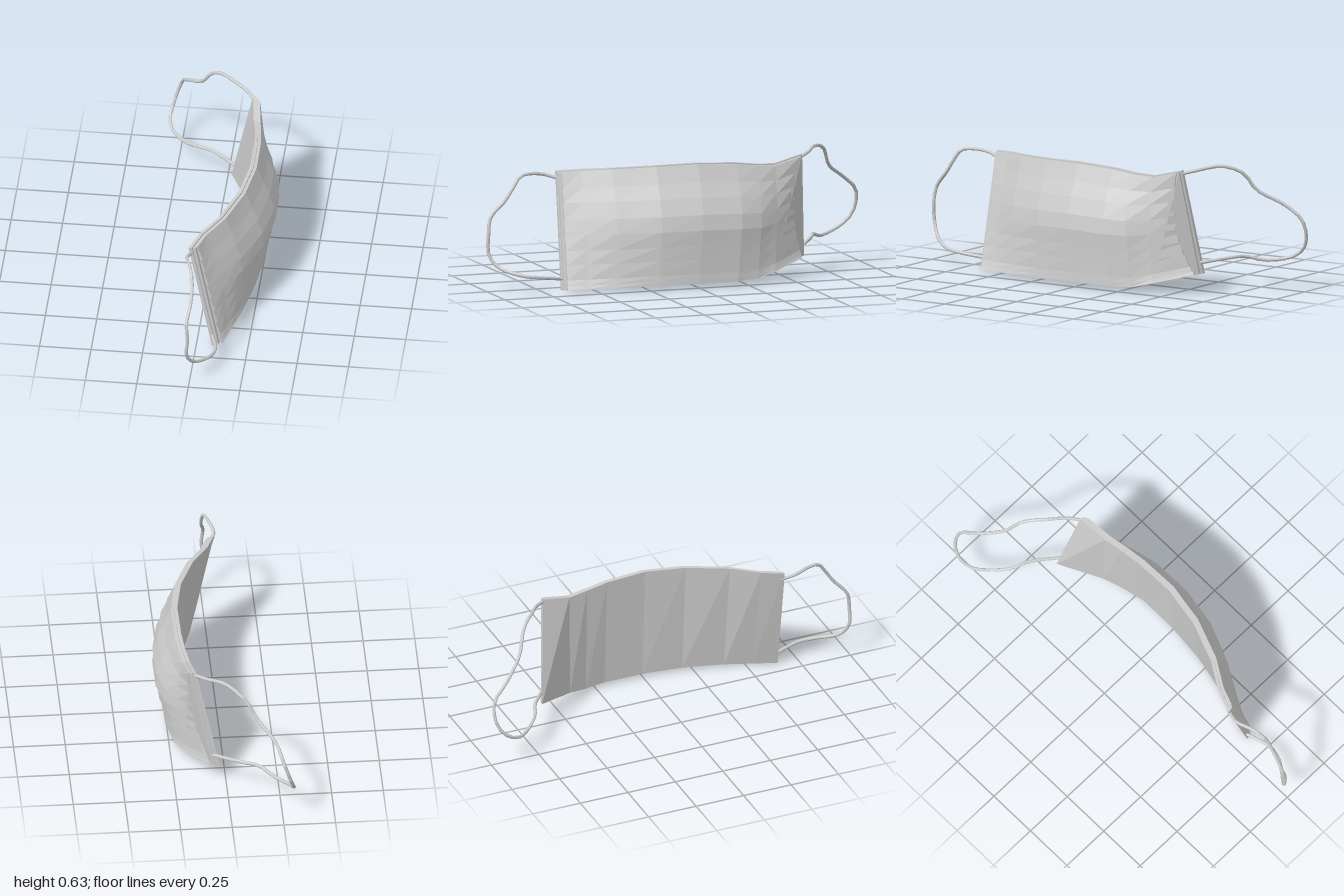
import * as THREE from 'three';

const material = new THREE.MeshStandardMaterial({ color: 0xcccccc, flatShading: true, side: THREE.DoubleSide });

// Stations along the mask: top x, y, z, bottom x, y, z of the inner face, and pleat fullness
const stations = [
  [-0.04, 0.567, 0.637, 0.075, 0, 0.65, 0],
  [0.0, 0.575, 0.53, 0.11, 0.005, 0.53, 0.35],
  [0.08, 0.586, 0.4, 0.15, 0.01, 0.4, 0.6],
  [0.155, 0.598, 0.2, 0.195, 0.015, 0.2, 0.9],
  [0.188, 0.605, 0, 0.215, 0.018, 0, 1],
  [0.185, 0.595, -0.2, 0.215, 0.018, -0.2, 1],
  [0.175, 0.581, -0.31, 0.19, 0.022, -0.31, 0.8],
  [0.16, 0.574, -0.41, 0.15, 0.045, -0.41, 0.35],
  [0.14, 0.61, -0.56, 0.03, 0.095, -0.61, 0],
];
const last = stations.length - 1;

// Point on station i at height t (0 top, 1 bottom), pushed outward by off;
// inset moves the end stations towards their neighbours
function surfacePoint(i, t, off, inset = 0) {
  const at = (s) => new THREE.Vector3(s[0], s[1], s[2]).lerp(new THREE.Vector3(s[3], s[4], s[5]), t);
  const p = at(stations[i]);
  if (i === 0) p.lerp(at(stations[1]), inset);
  if (i === last) p.lerp(at(stations[last - 1]), inset);
  p.x += off;
  return p;
}

// Closed solid through equal-length loops of points
function loft(loops) {
  const n = loops[0].length;
  const positions = loops.flat().flatMap((p) => p.toArray());
  const index = [];
  for (let i = 0; i < loops.length - 1; i++) {
    for (let j = 0; j < n; j++) {
      const a = i * n + j, b = i * n + ((j + 1) % n);
      index.push(a, a + n, b + n, a, b + n, b);
    }
  }
  const e = (loops.length - 1) * n;
  for (let j = 1; j < n - 1; j++) index.push(0, j, j + 1, e, e + j + 1, e + j);
  const geometry = new THREE.BufferGeometry();
  geometry.setAttribute('position', new THREE.Float32BufferAttribute(positions, 3));
  geometry.setIndex(index);
  const flat = geometry.toNonIndexed();
  flat.computeVertexNormals();
  return flat;
}

// Flat fabric layer between two depths
function layer(from, to, t0, t1, inset) {
  return loft(stations.map((s, i) => [
    surfacePoint(i, t0, from, inset), surfacePoint(i, t1, from, inset),
    surfacePoint(i, t1, to, inset), surfacePoint(i, t0, to, inset),
  ]));
}

// One overlapping fold: shallow at its top edge, standing out at its bottom edge
function pleat(t0, t1, topRise, bottomRise) {
  return loft(stations.map((s, i) => {
    const inset = (t) => (i === last ? 0.12 + 0.25 * Math.sin(Math.PI * t) : 0.17);
    const rise = (r, flat) => 0.02 + THREE.MathUtils.lerp(flat, r, s[6]);
    return [
      surfacePoint(i, t0, 0.018, inset(t0)), surfacePoint(i, t1, 0.018, inset(t1)),
      surfacePoint(i, t1, rise(bottomRise, 0.026), inset(t1)),
      surfacePoint(i, t0, rise(topRise, 0.014), inset(t0)),
    ];
  }));
}

function strap(points) {
  const curve = new THREE.CatmullRomCurve3(points.map((p) => new THREE.Vector3(...p)), false, 'centripetal');
  return new THREE.TubeGeometry(curve, 32, 0.0085, 8);
}

export function createModel() {
  const group = new THREE.Group();
  const add = (name, geometry) => {
    const mesh = new THREE.Mesh(geometry, material);
    mesh.name = name;
    group.add(mesh);
  };

  // Fabric backing
  add('innerLayer', layer(0, 0.017, 0, 1, 0));
  add('outerLayer', layer(0.017, 0.03, 0.012, 0.99, 0.05));

  // Folds from top to bottom: lower edge, rise at top, rise at bottom
  const folds = [
    [0.145, 0.012, 0.043], [0.265, 0.033, 0.07], [0.405, 0.058, 0.09],
    [0.535, 0.076, 0.087], [0.665, 0.072, 0.066], [0.785, 0.05, 0.046],
    [0.91, 0.034, 0.031], [0.96, 0.02, 0.021], [0.995, 0.012, 0.012],
  ];
  let top = 0.012;
  folds.forEach(([bottom, topRise, bottomRise], k) => {
    add(`pleat${k + 1}`, pleat(top, bottom, topRise, bottomRise));
    top = bottom - 0.004;
  });

  // Ear loops
  add('frontEarLoop', strap([
    [-0.022, 0.53, 0.625], [-0.042, 0.55, 0.69], [-0.02, 0.562, 0.77], [-0.004, 0.553, 0.83],
    [0.004, 0.5, 0.87], [0.002, 0.44, 0.91], [-0.012, 0.36, 0.978], [-0.005, 0.28, 0.991],
    [-0.01, 0.18, 0.988], [0.02, 0.12, 0.95], [0.09, 0.083, 0.85], [0.106, 0.073, 0.77],
    [0.075, 0.055, 0.64],
  ]));
  add('rearEarLoop', strap([
    [0.15, 0.592, -0.55], [0.1, 0.608, -0.61], [0.02, 0.622, -0.67], [-0.02, 0.617, -0.71],
    [-0.07, 0.59, -0.755], [-0.1, 0.555, -0.775], [-0.13, 0.5, -0.8], [-0.22, 0.42, -0.91],
    [-0.252, 0.35, -0.985], [-0.288, 0.24, -0.985], [-0.304, 0.177, -0.935], [-0.288, 0.147, -0.87],
    [-0.22, 0.14, -0.79], [-0.15, 0.163, -0.725], [-0.075, 0.165, -0.695], [0.06, 0.148, -0.6],
  ]));

  return group;
}
